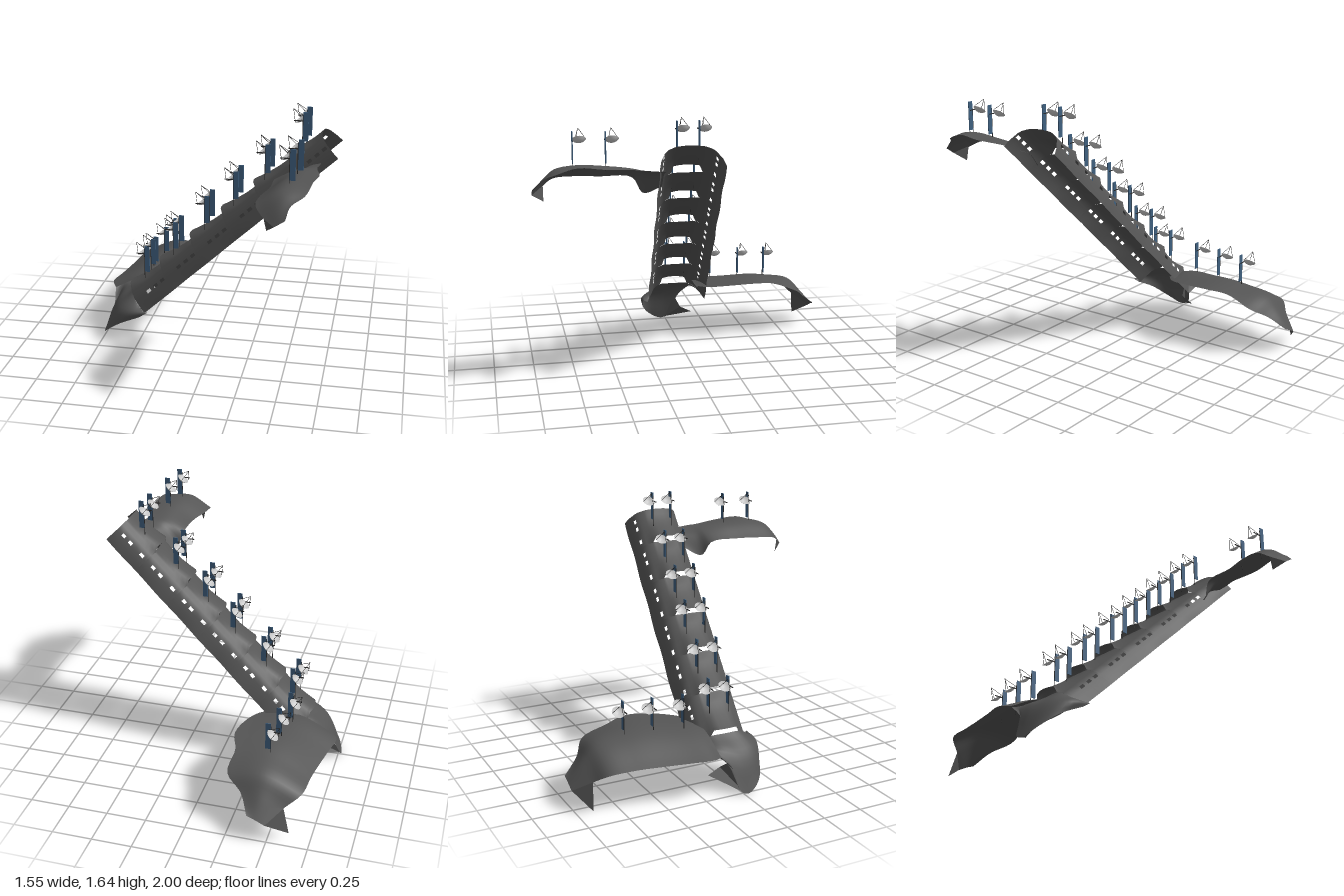
import * as THREE from 'three';

const shellMat = new THREE.MeshStandardMaterial({ color: 0x555555, side: THREE.DoubleSide });
const panelMat = new THREE.MeshStandardMaterial({ color: 0x3f6080 });
const metalMat = new THREE.MeshStandardMaterial({ color: 0x2a2a2a });
const dishMat = new THREE.MeshStandardMaterial({ color: 0xcccccc, side: THREE.DoubleSide });
const V = (x, y, z) => new THREE.Vector3(x, y, z);

function named(name, geometry, material) {
  const mesh = new THREE.Mesh(geometry, material);
  mesh.name = name;
  return mesh;
}

// Surface from rows of points; cells for which isHole(row, column) is true stay open
function gridSurface(rows, isHole = () => false) {
  const cols = rows[0].length, index = [];
  for (let i = 0; i < rows.length - 1; i++) {
    for (let j = 0; j < cols - 1; j++) {
      if (isHole(i, j)) continue;
      const a = i * cols + j, b = a + cols;
      index.push(a, a + 1, b, b, a + 1, b + 1);
    }
  }
  const geometry = new THREE.BufferGeometry().setFromPoints(rows.flat());
  geometry.setIndex(index);
  geometry.computeVertexNormals();
  return geometry;
}

// Smooth patch through a few cross-sections
function loft(sections, across = 16, along = 32) {
  const fine = sections.map(s => new THREE.CatmullRomCurve3(s).getPoints(across));
  const columns = fine[0].map((_, j) =>
    new THREE.CatmullRomCurve3(fine.map(r => r[j])).getPoints(along));
  return gridSurface(columns);
}

// Wing rows are: z, left x, left y, middle x, middle y, right x, right y
const wing = rows => loft(rows.map(([z, a, b, c, d, e, f]) => [V(a, b, z), V(c, d, z), V(e, f, z)]));
const triangles = points => {
  const g = new THREE.BufferGeometry().setFromPoints(points);
  g.computeVertexNormals();
  return g;
};

// Sloping gallery: half profile of width and height, mirrored about the middle
const HALF = [[0.2, -0.022], [0.178, 0.03], [0.16, 0.064], [0.151, 0.084], [0.13, 0.108],
  [0.095, 0.126], [0.079, 0.132], [0.04, 0.138], [0, 0.14]];
const PROFILE = [...HALF, ...HALF.slice(0, -1).reverse().map(([u, h]) => [-u, h])];
const START = -0.465, PITCH = 0.208;
const STATIONS = [0, 0.05, 0.1, 0.22, 0.38, 0.5, 0.61, 0.73, 0.83, 0.95, 1];
// windows of the two sides alternate along the slope: profile column -> station rows
const WINDOWS = { 2: [4, 6, 8], [PROFILE.length - 4]: [2, 5, 7] };

function gallerySegment(k) {
  const length = k === 5 ? 0.92 : 1;
  const rows = STATIONS.map(t => {
    const x = START + PITCH * (k + t * length);
    const y = 0.24 + 0.955 * (x - START);
    const zc = 0.027 + 0.11 * x;
    // the lower edge lifts into an eyebrow over an open slot, the upper edge is flat below it
    const lift = Math.pow(Math.max(0, 1 - t / 0.75), 1.5);
    const flat = k < 5 ? THREE.MathUtils.smoothstep(t, 0.75, 1) : 0;
    return PROFILE.map(([u, full]) => {
      const h = THREE.MathUtils.lerp(full, Math.min(full, 0.129), flat);
      const w = lift * (1 - THREE.MathUtils.smoothstep(Math.abs(u), 0.079, 0.095));
      const brow = lift * Math.max(0, 1 - (u / 0.115) ** 2);
      const edge = h < 0 ? 1 + 0.015 * Math.sin(x * 23 + u * 9) - 0.05 * (k + t) / 6 : 1;
      return V(x - 0.68 * h - 0.025 * brow, y + 0.65 * h + 0.034 * w, zc + u * edge);
    });
  });
  return gridSurface(rows, (i, j) => j in WINDOWS && WINDOWS[j].includes(i));
}

function rod(name, a, b, radius) {
  const g = new THREE.CylinderGeometry(radius, radius, a.distanceTo(b), 5);
  const mesh = named(name, g, metalMat);
  mesh.position.copy(a).lerp(b, 0.5);
  mesh.quaternion.setFromUnitVectors(V(0, 1, 0), b.clone().sub(a).normalize());
  return mesh;
}

// Antenna with its origin at the foot, below the dish
function antenna(x, y, z) {
  const g = new THREE.Group();
  g.name = 'antenna';
  const pole = rod('pole', V(0.01, -0.03, 0.042), V(0.01, 0.18, 0.042), 0.0022);
  const panel = named('panel', new THREE.BoxGeometry(0.032, 0.18, 0.005), panelMat);
  panel.position.set(0.028, 0.11, 0.042);
  const arm = named('arm', new THREE.BoxGeometry(0.08, 0.005, 0.005), metalMat);
  arm.position.set(-0.005, 0.145, 0.038);

  // bowl tilted towards -x, with three struts meeting in front of it
  const head = new THREE.Group();
  head.name = 'dishHead';
  const bowl = [[0, -0.02], [0.016, -0.017], [0.03, -0.01], [0.041, 0]]
    .map(([r, h]) => new THREE.Vector2(r, h));
  head.add(named('dish', new THREE.LatheGeometry(bowl, 16), dishMat));
  const apex = V(0, 0.072, 0);
  for (let i = 0; i < 3; i++) {
    const a = i * Math.PI * 2 / 3 + Math.PI / 6;
    head.add(rod('strut', V(0.04 * Math.cos(a), 0, 0.04 * Math.sin(a)), apex, 0.0014));
  }
  head.position.set(-0.01, 0.15, 0);
  head.rotation.z = 0.64;
  g.add(pole, panel, arm, head);
  g.position.set(x, y, z);
  return g;
}

export function createModel() {
  const model = new THREE.Group();
  model.name = 'galleryWithAntennas';

  const gallery = new THREE.Group();
  gallery.name = 'gallery';
  for (let k = 0; k < 6; k++) gallery.add(named('gallerySegment', gallerySegment(k), shellMat));
  model.add(gallery);

  // Curled apron at the foot of the gallery
  model.add(named('apron', loft([
    [V(-0.45, 0.226, 0.178), V(-0.51, 0.285, 0.14), V(-0.55, 0.32, 0.08), V(-0.555, 0.322, -0.024),
      V(-0.55, 0.32, -0.12), V(-0.51, 0.285, -0.18), V(-0.45, 0.226, -0.226)],
    [V(-0.42, 0.25, 0.21), V(-0.54, 0.24, 0.205), V(-0.64, 0.22, 0.14), V(-0.68, 0.22, 0.02),
      V(-0.67, 0.25, -0.07), V(-0.66, 0.27, -0.15), V(-0.66, 0.28, -0.22)],
    [V(-0.48, 0.21, 0.21), V(-0.62, 0.14, 0.185), V(-0.73, 0.05, 0.12), V(-0.768, 0, 0.03),
      V(-0.765, 0.03, -0.03), V(-0.72, 0.15, -0.05), V(-0.73, 0.25, -0.14)],
  ], 24, 10), shellMat));
  model.add(named('apronSpur', triangles([
    V(-0.765, 0.01, 0), V(-0.6, 0.09, -0.16), V(-0.6, 0.13, -0.08),
    V(-0.765, 0.01, 0), V(-0.6, 0.13, -0.08), V(-0.68, 0.19, -0.05)]), shellMat));

  // Lower wing, reaching back
  model.add(named('lowerWing', wing([
    [-0.14, -0.73, 0.25, -0.52, 0.35, -0.34, 0.36],
    [-0.21, -0.765, 0.26, -0.5, 0.37, -0.26, 0.37],
    [-0.36, -0.74, 0.26, -0.48, 0.38, -0.2, 0.39],
    [-0.53, -0.71, 0.26, -0.46, 0.39, -0.18, 0.4],
    [-0.66, -0.69, 0.26, -0.45, 0.38, -0.22, 0.38],
    [-0.82, -0.67, 0.25, -0.44, 0.35, -0.215, 0.32],
    [-0.9, -0.58, 0.19, -0.44, 0.27, -0.32, 0.25],
    [-1, -0.49, 0.12, -0.43, 0.15, -0.38, 0.17],
  ]), shellMat));
  model.add(named('lowerWingSpur', triangles([
    V(-0.62, 0.03, -0.92), V(-0.49, 0.12, -1), V(-0.58, 0.19, -0.9),
    V(-0.49, 0.12, -1), V(-0.5, 0.205, -0.93), V(-0.58, 0.19, -0.9)]), shellMat));

  // Upper wing, reaching forward
  model.add(named('upperWing', wing([
    [0.25, 0.54, 1.25, 0.61, 1.33, 0.68, 1.36],
    [0.35, 0.46, 1.2, 0.56, 1.33, 0.68, 1.37],
    [0.41, 0.43, 1.29, 0.56, 1.36, 0.67, 1.375],
    [0.6, 0.42, 1.3, 0.55, 1.385, 0.7, 1.39],
    [0.75, 0.385, 1.3, 0.53, 1.39, 0.68, 1.4],
    [0.87, 0.38, 1.29, 0.52, 1.37, 0.65, 1.36],
    [0.94, 0.43, 1.25, 0.52, 1.31, 0.58, 1.32],
    [1, 0.5, 1.22, 0.53, 1.24, 0.56, 1.26],
  ]), shellMat));
  model.add(named('upperWingSpur', triangles([
    V(0.45, 1.17, 0.93), V(0.5, 1.22, 1), V(0.43, 1.26, 0.93)]), shellMat));

  // Antennas: a pair on each gallery segment, then those on the wings
  const pairs = [[-0.47, -0.12], [-0.27, -0.095], [-0.06, -0.07], [0.13, -0.045], [0.33, -0.02], [0.555, -0.005]];
  for (const [x, z] of pairs) {
    const y = 0.365 + 0.96 * (x + 0.56);
    model.add(antenna(x, y, z), antenna(x - 0.01, y, z + 0.13));
  }
  for (const [x, z] of [[-0.5, -0.31], [-0.47, -0.5], [-0.445, -0.68]]) model.add(antenna(x, 0.39, z));
  for (const [x, z] of [[0.565, 0.54], [0.54, 0.725]]) model.add(antenna(x, 1.39, z));
  return model;
}
